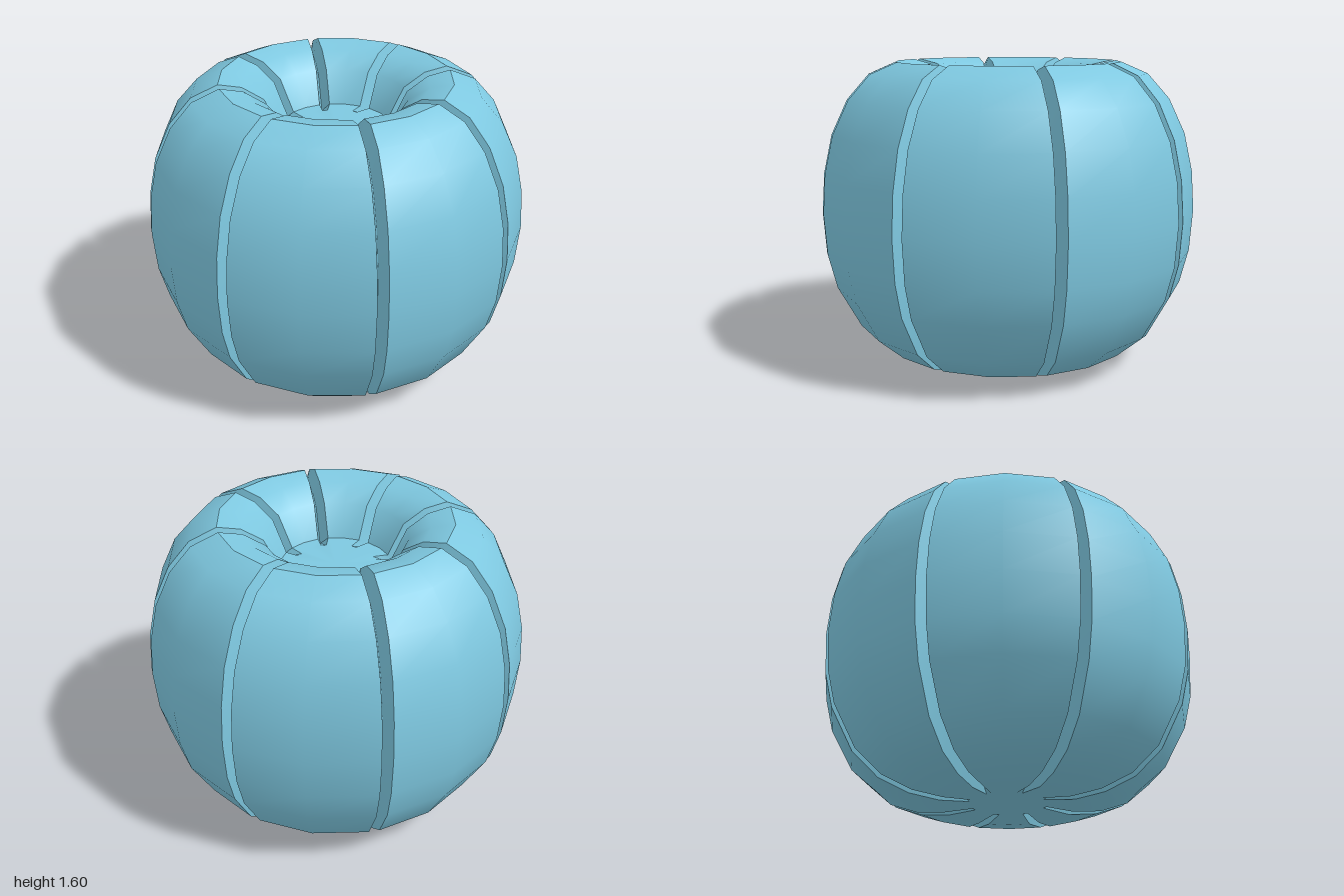
import * as THREE from 'three';
import { toCreasedNormals } from 'three/addons/utils/BufferGeometryUtils.js';

const LOBES = 8;
const HALF_GROOVE = 0.028;
const DEPTH = 0.1;

// Half outline [radius, height]: underside centre, up the side, into the top hollow
const PROFILE = [
  [0, 0.01], [0.2, 0.01], [0.36, 0], [0.52, 0.02], [0.68, 0.08], [0.82, 0.2],
  [0.94, 0.42], [0.985, 0.6], [1, 0.82], [0.985, 1.03], [0.94, 1.23], [0.855, 1.41],
  [0.74, 1.54], [0.6, 1.6], [0.48, 1.575], [0.37, 1.5], [0.29, 1.33], [0.21, 1.33], [0, 1.33],
];

// Groove floor: the outline pushed inwards along its normal
function groovePoint(i) {
  const [r, y] = PROFILE[i];
  if (r < 0.25) return [r, y];
  const a = PROFILE[i - 1], b = PROFILE[i + 1];
  const n = new THREE.Vector2(b[1] - a[1], a[0] - b[0]).normalize();
  return [r - n.x * DEPTH, y - n.y * DEPTH];
}

function lobedBody() {
  const positions = [], index = [];
  const step = (Math.PI * 2) / LOBES;
  const columns = LOBES * 4;

  // Each lobe adds four points to a ring: groove floor, edge, middle, edge
  PROFILE.forEach(([r, y], i) => {
    const [gr, gy] = groovePoint(i);
    const edge = r > 0 ? Math.asin(HALF_GROOVE / r) : 0;
    for (let k = 0; k < LOBES; k++) {
      const ring = [[0, gr, gy], [edge, r, y], [step / 2, r, y], [step - edge, r, y]];
      for (const [offset, pr, py] of ring) {
        const t = k * step + offset;
        positions.push(pr * Math.sin(t), py, pr * Math.cos(t));
      }
    }
  });

  // Join neighbouring rings, with single triangles at the two centres
  const last = PROFILE.length - 2;
  for (let i = 0; i <= last; i++) {
    for (let j = 0; j < columns; j++) {
      const a = i * columns + j, b = i * columns + (j + 1) % columns;
      const c = b + columns, d = a + columns;
      if (i > 0) index.push(a, b, c);
      if (i < last) index.push(a, c, d);
      else index.pop(), index.pop(), index.pop(), index.push(a, b, d);
      if (i === 0) index.splice(-3, 3, a, c, d);
    }
  }

  const geometry = new THREE.BufferGeometry();
  geometry.setAttribute('position', new THREE.Float32BufferAttribute(positions, 3));
  geometry.setIndex(index);
  return toCreasedNormals(geometry, 0.6);
}

export function createModel() {
  const group = new THREE.Group();
  group.name = 'lobedPumpkin';
  const material = new THREE.MeshStandardMaterial({ color: 0x7ec8e0, side: THREE.DoubleSide });
  const body = new THREE.Mesh(lobedBody(), material);
  body.name = 'pumpkinBody';
  group.add(body);
  return group;
}
